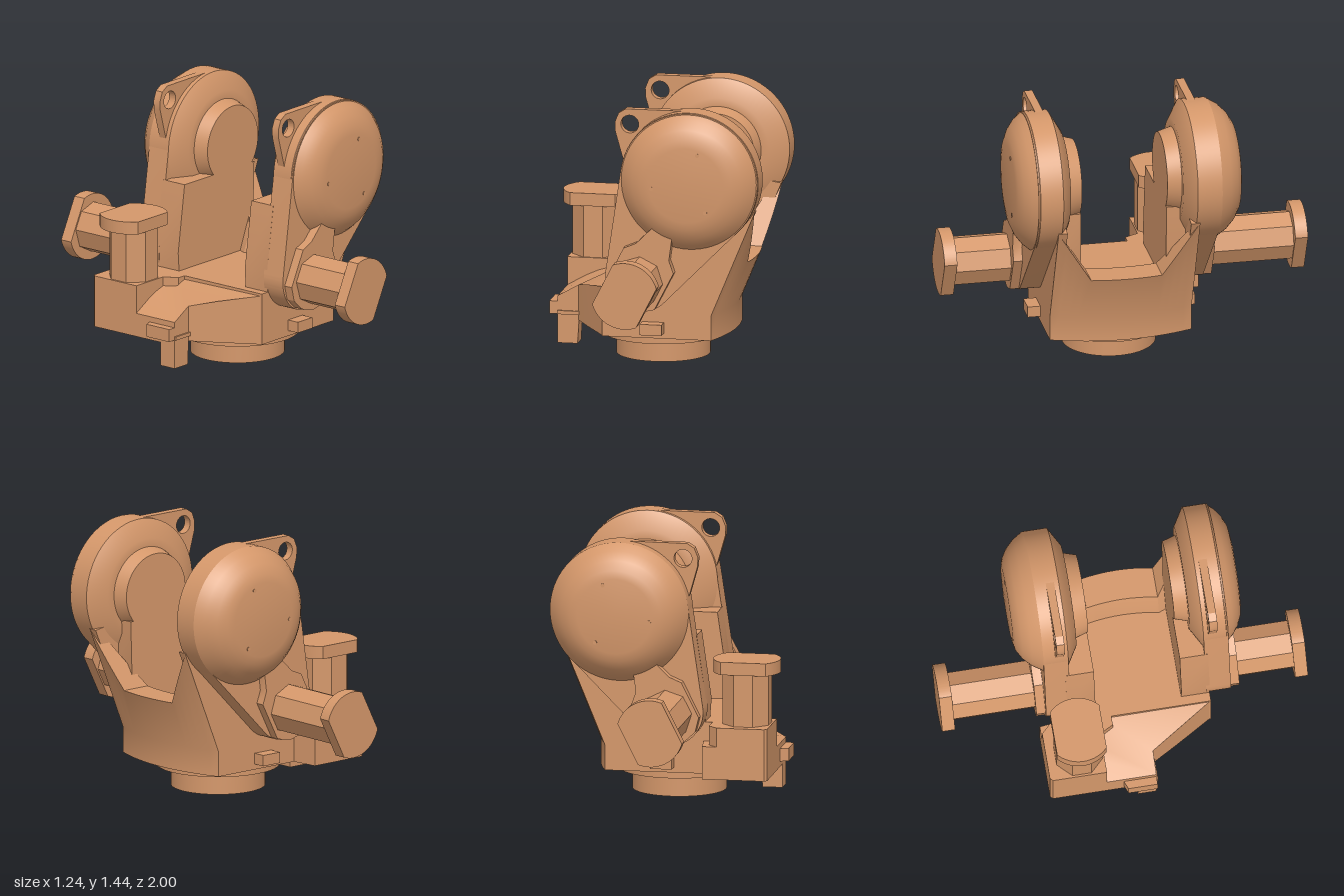
import * as THREE from 'three';
import { toCreasedNormals } from 'three/addons/utils/BufferGeometryUtils.js';

const MID = 0.07; // z of the plane the two arms mirror about
const material = new THREE.MeshStandardMaterial({ color: 0xd4976a });

function part(name, geometry, crease = 0.5) {
  const mesh = new THREE.Mesh(toCreasedNormals(geometry, crease), material);
  mesh.name = name;
  return mesh;
}

function box(name, x0, x1, y0, y1, z0, z1) {
  const g = new THREE.BoxGeometry(x1 - x0, y1 - y0, z1 - z0);
  g.translate((x0 + x1) / 2, (y0 + y1) / 2, (z0 + z1) / 2);
  return part(name, g);
}

const poly = (points) => new THREE.Shape(points.map(([x, y]) => new THREE.Vector2(x, y)));

function extrude(shape, a, b) {
  const lo = Math.min(a, b);
  const g = new THREE.ExtrudeGeometry(shape, { depth: Math.abs(b - a), bevelEnabled: false, curveSegments: 28 });
  return g.translate(0, 0, lo);
}

// Plate between two distances from the middle plane, on side +1 or -1
const slab = (name, shape, a, b, side) => part(name, extrude(shape, MID + side * a, MID + side * b));

// Solid standing on a plan outline given as [x, z]
function plan(points, y0, y1) {
  return extrude(poly(points.map(([x, z]) => [x, -z])), y0, y1).rotateX(-Math.PI / 2);
}

// Motor along +z: eight-sided body and a round cap with two flat sides
function motor(name, length, capDepth, roll) {
  const group = new THREE.Group();
  group.name = name;
  const body = new THREE.CylinderGeometry(0.137, 0.137, length, 8, 1, false, Math.PI / 8);
  body.rotateX(Math.PI / 2).translate(0, 0, length / 2);
  const r = 0.183, t = Math.asin(0.135 / r);
  const outline = new THREE.Shape();
  outline.absarc(0, 0, r, -t, t);
  outline.absarc(0, 0, r, Math.PI - t, Math.PI + t);
  outline.closePath();
  const cap = extrude(outline, length, length + capDepth);
  group.add(part('motorBody', body.rotateZ(roll)), part('motorCap', cap.rotateZ(roll)));
  return group;
}

// Curved front wall: a box grid bent outward, leaning, with raised wings
function frontWall() {
  const g = new THREE.BoxGeometry(1, 2, 0.78, 1, 2, 16);
  const p = g.attributes.position;
  for (let i = 0; i < p.count; i++) {
    const z = p.getZ(i), s = Math.abs(z) / 0.39;
    const wing = Math.max(0, (s - 0.5) / 0.5);
    const row = Math.round(p.getY(i)) + 1;
    const y = [0.16, 0.3, 0.56 + 0.32 * wing][row];
    const lean = 0.41 * Math.max(0, y - 0.3);
    const bulge = 0.075 * (1 - s * s);
    const thickness = 0.17 - 0.12 * wing;
    const x = 0.34 + lean + bulge - (p.getX(i) < 0 ? thickness : 0);
    p.setXYZ(i, x, y, z + MID);
  }
  return part('frontWall', g);
}

function arm(side) {
  const group = new THREE.Group();
  group.name = side > 0 ? 'frontArm' : 'rearArm';
  const rimEnd = side > 0 ? 0.495 : 0.505;
  const domeEnd = side > 0 ? 0.6 : 0.645;

  // Outer plate: small lower lobe joined by tangents to the shoulder circle
  const outline = new THREE.Shape();
  const axis = Math.atan2(0.54, 0.27);
  const spread = Math.acos((0.19 - 0.378) / Math.hypot(0.27, 0.54));
  outline.absarc(-0.03, 0.52, 0.19, axis + spread, axis - spread + 2 * Math.PI);
  outline.absarc(0.24, 1.06, 0.378, axis - spread, axis + spread);
  outline.closePath();
  group.add(slab('armPlate', outline, 0.37, 0.505, side));

  // Thick lower root
  const root = poly([[-0.2, 0.3], [0.34, 0.3], [0.41, 0.56], [0.42, 0.92], [-0.164, 0.92], [-0.218, 0.547]]);
  group.add(slab('armRoot', root, 0.235, 0.39, side));
  // Outer flank filling up to the leaning front edge
  const flank = poly([[-0.2, 0.3], [0.34, 0.3], [0.58, 0.88], [0.45, 0.9], [0, 0.6]]);
  group.add(slab('armFlank', flank, 0.34, 0.39, side));

  // Shoulder disc with domed outside and inner hub
  const profile = [[0, 0.235], [0.212, 0.235], [0.235, 0.31], [0.28, 0.31], [0.38, 0.37], [0.38, rimEnd]];
  for (const [r, t] of [[0.345, 0.4], [0.3, 0.72], [0.25, 0.93], [0.205, 1], [0, 1.0]])
    profile.push([r, rimEnd + (domeEnd - rimEnd) * t]);
  const disc = new THREE.LatheGeometry(profile.map(([r, h]) => new THREE.Vector2(r, h)), 72);
  disc.rotateX(side * Math.PI / 2).translate(0.24, 1.06, MID);
  group.add(part('shoulderDisc', disc, 0.55));

  // Cover screws
  for (const [x, y] of [[0.305, 1.23], [0.052, 1.035], [0.348, 0.914]]) {
    const screw = new THREE.CylinderGeometry(0.011, 0.011, 0.03, 12).rotateX(Math.PI / 2);
    group.add(part('coverScrew', screw.translate(x, y, MID + side * (domeEnd - 0.012))));
  }

  // Lifting ear with a hole
  const ear = poly([[-0.13, 1.14], [0, 1.1], [0.24, 1.3], [0.24, 1.437], [-0.12, 1.435], [-0.16, 1.41], [-0.18, 1.36], [-0.178, 1.31]]);
  const hole = new THREE.Path();
  hole.absarc(-0.098, 1.352, 0.049, 0, 2 * Math.PI, true);
  ear.holes.push(hole);
  group.add(slab('liftingEar', ear, 0.395, 0.44, side));

  // Drive motor on its mounting plate
  const mount = poly([[-0.205, 0.5], [-0.11, 0.69], [-0.04, 0.72], [0.05, 0.81], [0.16, 0.78], [0.14, 0.63],
    [0.165, 0.56], [0.06, 0.355], [-0.03, 0.335], [-0.12, 0.36], [-0.185, 0.42]]);
  group.add(slab('motorMount', mount, 0.5, 0.555, side));
  const start = side > 0 ? 0.61 : -0.48;
  const drive = motor('armMotor', 0.93 - Math.abs(start), 0.07, side * 1.1);
  if (side < 0) drive.rotation.x = Math.PI;
  drive.position.set(-0.03, 0.51, start);
  group.add(drive);

  // Side stop tab
  const tab = poly([[-0.04, 0.19], [0.08, 0.19], [0.08, 0.25], [-0.04, 0.25]]);
  group.add(slab('stopTab', tab, 0.38, 0.46, side));
  return group;
}

export function createModel() {
  const model = new THREE.Group();
  model.name = 'shoulderJoint';

  // Round foot and flange
  const foot = new THREE.CylinderGeometry(0.255, 0.255, 0.14, 64).translate(0, 0.07, MID);
  const flange = new THREE.CylinderGeometry(0.333, 0.333, 0.06, 64).translate(0, 0.145, MID);
  model.add(part('foot', foot), part('baseFlange', flange));

  // Main body, front wall and two arms
  model.add(box('body', -0.26, 0.34, 0.16, 0.445, -0.32, 0.46));
  model.add(frontWall(), arm(1), arm(-1));

  // Rear bracket whose top falls away in a curve toward the back
  const bracket = plan([[-0.575, -0.2], [-0.46, -0.2], [-0.38, -0.2], [-0.2, -0.2], [-0.2, 0.45], [-0.26, 0.45],
    [-0.38, 0.25], [-0.46, 0.11], [-0.575, 0.11]], 0.16, 0.445);
  const p = bracket.attributes.position;
  for (let i = 0; i < p.count; i++) {
    const t = (-0.2 - p.getX(i)) / 0.375;
    if (p.getY(i) > 0.3) p.setY(i, 0.445 - 0.07 * t - 0.085 * t * t);
  }
  bracket.computeVertexNormals();
  model.add(part('rearBracket', bracket));

  // Pedestal with the upright motor
  model.add(part('motorPedestal', plan([[-0.575, -0.455], [-0.56, -0.47], [-0.3, -0.47], [-0.25, -0.42], [-0.25, -0.085],
    [-0.31, -0.085], [-0.35, -0.16], [-0.575, -0.16]], 0.16, 0.445)));
  model.add(part('pedestalFoot', plan([[-0.4, -0.47], [-0.22, -0.47], [-0.2, -0.3], [-0.4, -0.3]], 0.16, 0.34)));
  const upright = motor('uprightMotor', 0.29, 0.07, 0);
  upright.rotation.x = -Math.PI / 2;
  upright.position.set(-0.437, 0.44, -0.295);
  model.add(upright);

  // Rear stop: tab, thin plate and hanging leg
  model.add(part('rearTab', plan([[-0.62, -0.05], [-0.57, -0.07], [-0.57, 0.11], [-0.62, 0.11]], 0.19, 0.26)));
  model.add(box('stopPlate', -0.575, -0.38, 0.19, 0.21, 0, 0.12));
  model.add(part('hangingLeg', extrude(poly([[-0.575, 0.03], [-0.465, 0.03], [-0.455, 0.2], [-0.575, 0.2]]), 0.01, 0.11)));
  return model;
}
